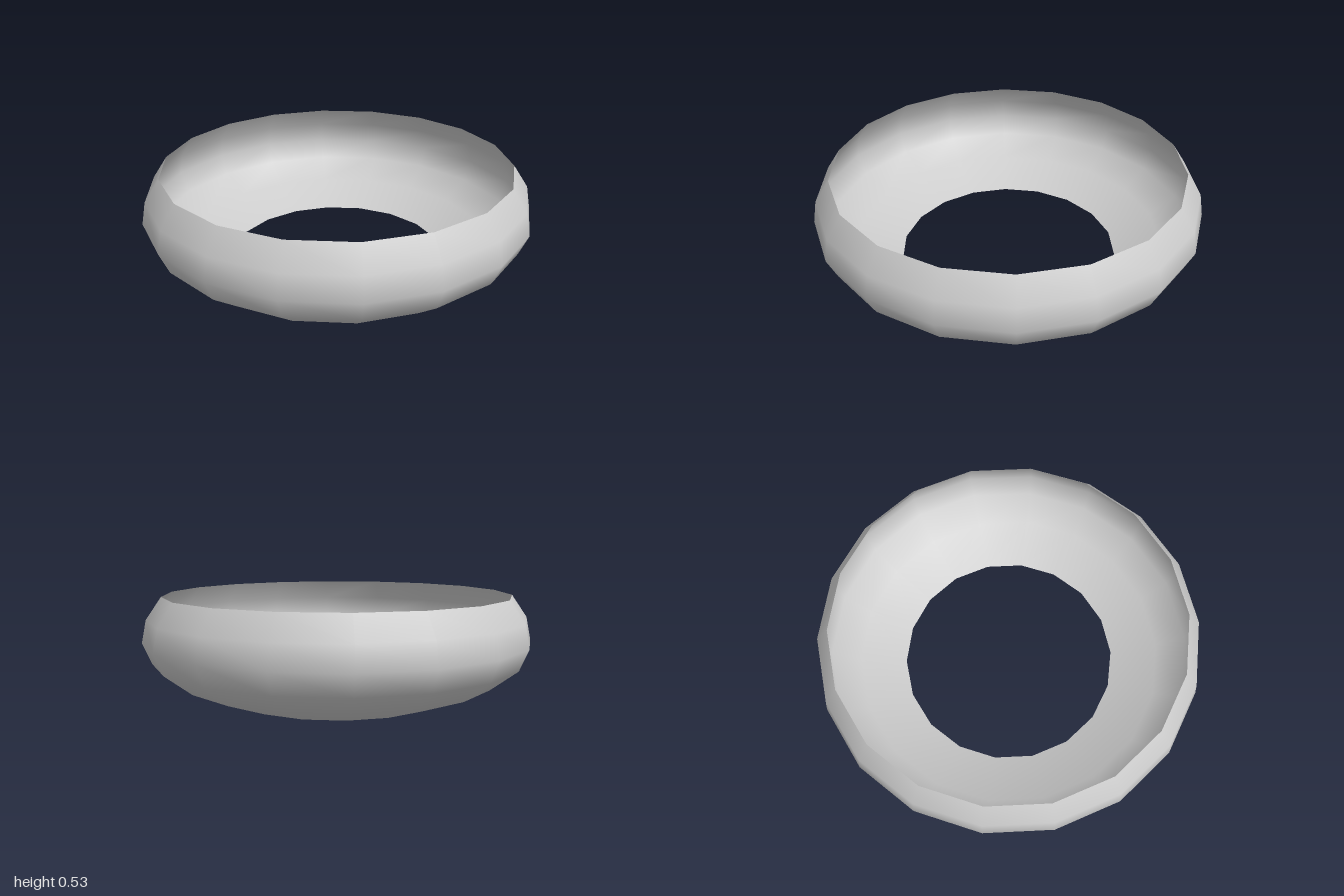
import * as THREE from 'three';

export function createModel() {
  const group = new THREE.Group();
  group.name = 'openBowlRing';

  // Wall profile from the bottom opening up to the rim: radius, height
  const profile = [
    [0.58, 0], [0.82, 0.09], [0.955, 0.195],
    [1, 0.303], [0.977, 0.417], [0.9, 0.53],
  ].map(([r, y]) => new THREE.Vector2(r, y));

  // Thin 18-sided wall, open at top and bottom, with corners on the x axis
  const wall = new THREE.Mesh(
    new THREE.LatheGeometry(profile, 18, Math.PI / 2),
    new THREE.MeshStandardMaterial({ color: 0xcccccc, side: THREE.DoubleSide })
  );
  wall.name = 'ringWall';
  group.add(wall);

  return group;
}
